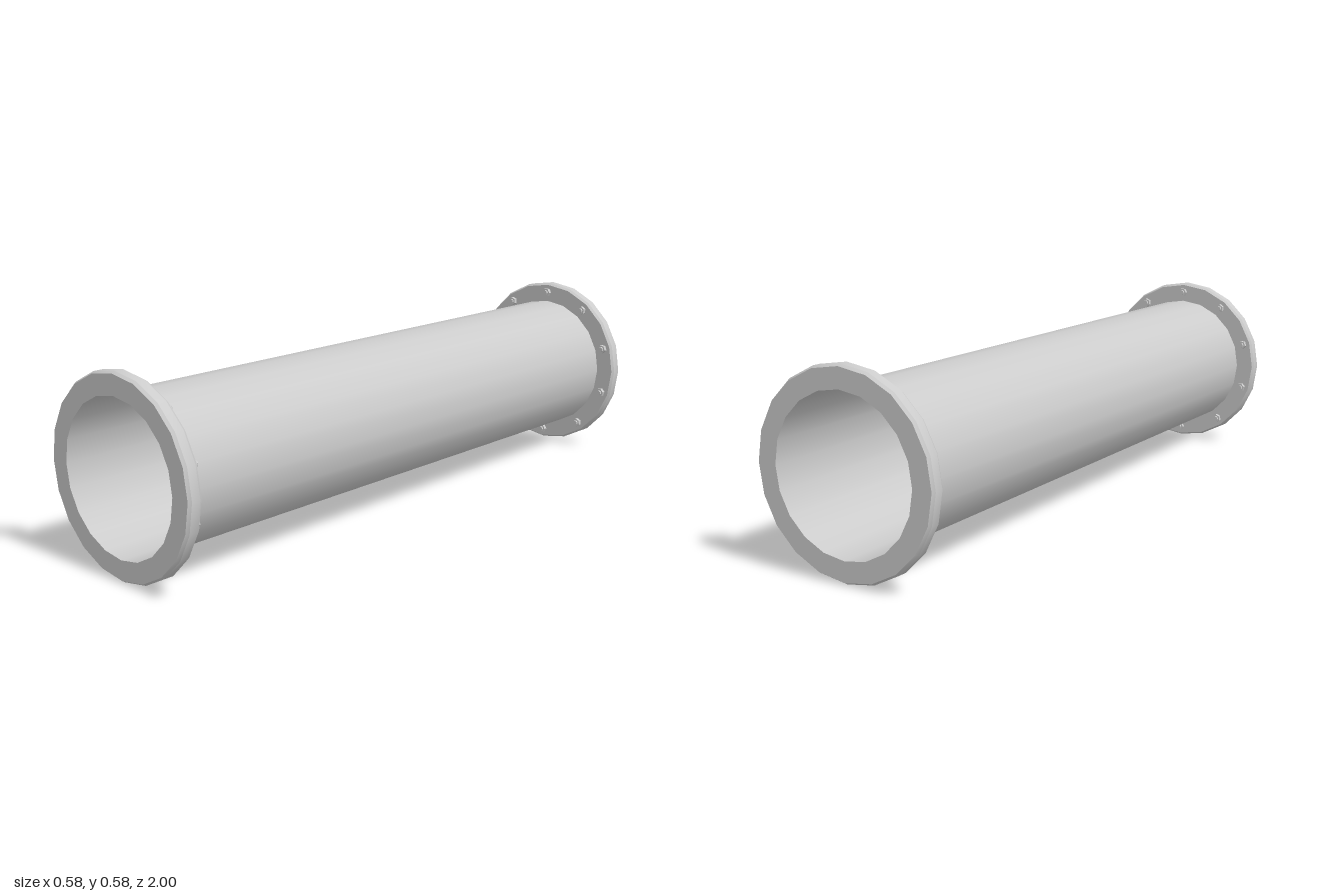
import * as THREE from 'three';
import { toCreasedNormals } from 'three/addons/utils/BufferGeometryUtils.js';

const SIDES = 20;
const CENTRE_Y = 0.29;
const PIPE_R = 0.225;
const FLANGE_R = 0.29;
const FLANGE_T = 0.045;
const BOLT_CIRCLE = 0.257;
const BOLTS = 10;

export function createModel() {
  const model = new THREE.Group();
  model.name = 'flangedPipe';
  const metal = new THREE.MeshStandardMaterial({ color: 0xcccccc });
  const thinMetal = new THREE.MeshStandardMaterial({ color: 0xcccccc, side: THREE.DoubleSide });

  const add = (parent, name, geometry, material) => {
    const mesh = new THREE.Mesh(geometry, material);
    mesh.name = name;
    parent.add(mesh);
    return mesh;
  };

  // Open pipe running along z
  const pipeGeo = new THREE.CylinderGeometry(PIPE_R, PIPE_R, 2, SIDES, 1, true).rotateX(Math.PI / 2);
  add(model, 'pipe', pipeGeo, thinMetal).position.y = CENTRE_Y;

  // Flange ring with chamfered rim, from z = 1 - thickness to z = 1
  const profile = [
    [PIPE_R, 0], [FLANGE_R - 0.006, 0], [FLANGE_R, 0.009],
    [FLANGE_R, FLANGE_T - 0.009], [FLANGE_R - 0.006, FLANGE_T], [PIPE_R, FLANGE_T],
  ].map(([r, h]) => new THREE.Vector2(r, h));
  const ringGeo = toCreasedNormals(new THREE.LatheGeometry(profile, SIDES), 0.5)
    .rotateX(Math.PI / 2)
    .translate(0, 0, 1 - FLANGE_T);

  // Hexagonal nut and the stud end showing through it
  const nutGeo = toCreasedNormals(new THREE.CylinderGeometry(0.015, 0.015, 0.012, 6), 0.5).rotateX(Math.PI / 2);
  const studGeo = toCreasedNormals(new THREE.CylinderGeometry(0.009, 0.009, 0.019, 8), 0.9).rotateX(Math.PI / 2);

  // One flange at each end, bolts on the inner face
  for (const [name, turn] of [['frontFlange', 0], ['backFlange', Math.PI]]) {
    const flange = new THREE.Group();
    flange.name = name;
    flange.position.y = CENTRE_Y;
    flange.rotation.y = turn;
    add(flange, 'flangeRing', ringGeo, metal);

    for (let i = 0; i < BOLTS; i++) {
      const angle = Math.PI / 2 + (i / BOLTS) * Math.PI * 2;
      const bolt = new THREE.Group();
      bolt.name = 'bolt';
      bolt.position.set(Math.cos(angle) * BOLT_CIRCLE, Math.sin(angle) * BOLT_CIRCLE, 1 - FLANGE_T);
      bolt.rotation.z = angle;
      add(bolt, 'nut', nutGeo, metal).position.z = -0.006;
      add(bolt, 'studEnd', studGeo, metal).position.z = -0.0095;
      flange.add(bolt);
    }
    model.add(flange);
  }
  return model;
}
